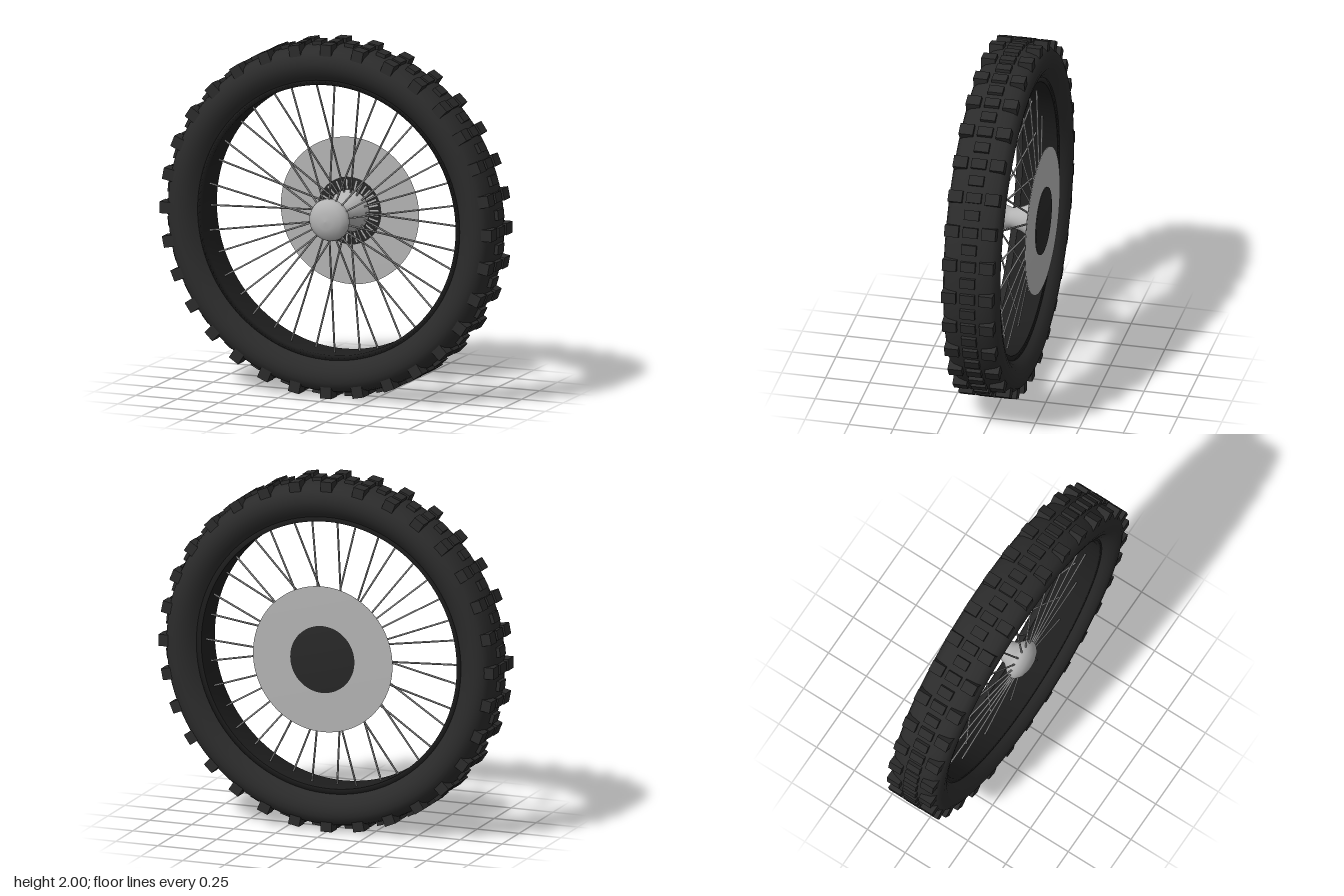
import * as THREE from 'three';
import { mergeGeometries } from 'three/addons/utils/BufferGeometryUtils.js';

const material = (name, color) => {
  const m = new THREE.MeshStandardMaterial({ color });
  m.name = name;
  return m;
};

// Profile of [radius, z] pairs turned around the z axis
function turned(points, segments = 96) {
  const g = new THREE.LatheGeometry(points.map(([r, z]) => new THREE.Vector2(r, z)), segments);
  return g.rotateX(Math.PI / 2);
}

// Copies of a geometry spread evenly around the z axis
function ring(geometry, count, offset = 0) {
  const copies = [];
  for (let i = 0; i < count; i++) {
    copies.push(geometry.clone().rotateZ(((i + offset) / count) * Math.PI * 2));
  }
  return mergeGeometries(copies);
}

// Thin rod in the yz plane between two [radius, z] points
function rod([r0, z0], [r1, z1], radius) {
  const a = new THREE.Vector3(0, r0, z0), b = new THREE.Vector3(0, r1, z1);
  const dir = b.clone().sub(a);
  const g = new THREE.CylinderGeometry(radius, radius, dir.length(), 6);
  g.applyQuaternion(new THREE.Quaternion().setFromUnitVectors(new THREE.Vector3(0, 1, 0), dir.normalize()));
  return g.translate(0, (r0 + r1) / 2, (z0 + z1) / 2);
}

export function createModel() {
  const rubber = material('black rubber', 0x2b2b2b);
  const rimBlack = material('rim black', 0x1e1e1e);
  const steel = material('light steel', 0xb4b4b4);
  const spokeGrey = material('spoke grey', 0x858585);
  const plateDark = material('dark plate', 0x282828);

  const model = new THREE.Group();
  model.name = 'wheel';
  const wheel = new THREE.Group();
  wheel.name = 'wheelAssembly';
  wheel.position.y = 1;
  model.add(wheel);
  const add = (name, geometry, mat) => {
    const mesh = new THREE.Mesh(geometry, mat);
    mesh.name = name;
    wheel.add(mesh);
    return mesh;
  };

  // Tyre: half section mirrored about its centre plane
  const zc = 0.02;
  const half = [[0.785, 0.1], [0.81, 0.128], [0.845, 0.152], [0.88, 0.16], [0.91, 0.158],
    [0.94, 0.146], [0.96, 0.122], [0.973, 0.08], [0.98, 0.03]];
  const section = [
    ...half.map(([r, z]) => [r, zc - z]),
    ...half.slice().reverse().map(([r, z]) => [r, zc + z]),
  ];
  add('tyre', turned(section, 128), rubber);

  // Rim: a shallow band closing the inside of the tyre
  add('rim', turned([[0.762, zc - 0.1], [0.795, zc - 0.106], [0.795, zc + 0.106],
    [0.762, zc + 0.1], [0.762, zc - 0.1]], 128), rimBlack);

  // Tread blocks: two shoulder rows and a denser centre row
  const shoulder = new THREE.BoxGeometry(0.066, 0.09, 0.08);
  for (const side of [-1, 1]) {
    const block = shoulder.clone().translate(0, 0.954, zc + 0.003 + side * 0.105);
    add(side > 0 ? 'frontTreadBlocks' : 'backTreadBlocks', ring(block, 32), rubber);
  }
  const centre = new THREE.BoxGeometry(0.056, 0.04, 0.084).translate(0, 0.979, zc + 0.003);
  add('centreTreadBlocks', ring(centre, 64), rubber);

  // Hub: spool with a domed front end
  add('hub', turned([[0.12, -0.165], [0.105, -0.12], [0.07, -0.06], [0.055, 0],
    [0.07, 0.045], [0.108, 0.085], [0.12, 0.11], [0.112, 0.135], [0.085, 0.16],
    [0.045, 0.174], [0, 0.178]], 48), steel);

  // Brake disc and its dark centre plate, with slots on the front
  const zd = -0.172;
  const plate = (r, h) => turned([[0, zd - h], [r, zd - h], [r, zd + h], [0, zd + h]]);
  add('brakeDisc', plate(0.415, 0.003), steel);
  add('centrePlate', plate(0.19, 0.01), plateDark);
  const slot = new THREE.BoxGeometry(0.009, 0.055, 0.004).translate(0, 0.152, zd + 0.011);
  add('plateSlots', ring(slot, 36, 0.5), steel);

  // Spokes alternate between the front and back of the hub
  add('frontSpokes', ring(rod([0.1, 0.115], [0.775, zc + 0.02], 0.0055), 18), spokeGrey);
  add('backSpokes', ring(rod([0.1, -0.14], [0.775, zc - 0.02], 0.0055), 18, 0.5), spokeGrey);

  return model;
}
